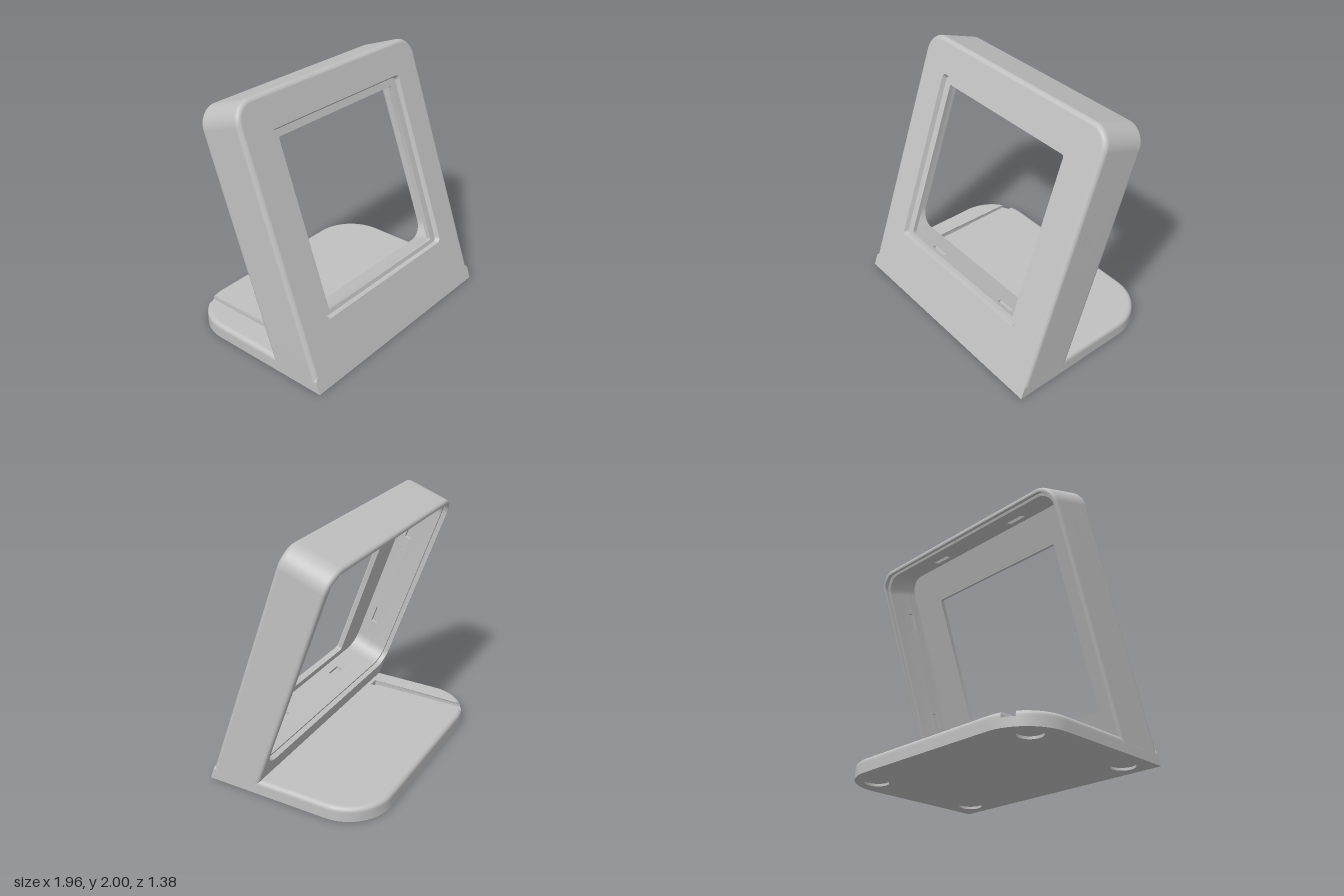
import * as THREE from 'three';
import { toCreasedNormals } from 'three/addons/utils/BufferGeometryUtils.js';

const TILT = Math.PI / 9;
const SLOPE = Math.tan(TILT);
const HALF_W = 0.98;
const grey = new THREE.MeshStandardMaterial({ color: 0xc0c0c0 });
grey.name = 'grey plastic';

// Outline with a straight bottom and two rounded top corners, optionally notched by a groove
function arch(bottom, top, r, groove) {
  const s = new THREE.Shape();
  const c = HALF_W - r, v = top - r;
  s.moveTo(-HALF_W, bottom);
  s.lineTo(HALF_W, bottom);
  s.absarc(c, v, r, 0, Math.PI / 2, false);
  if (groove) {
    const [x0, x1, end] = groove;
    s.absarc(-c, v, r, Math.PI / 2, Math.acos((x1 + c) / r), false);
    s.lineTo(x1, end);
    s.lineTo(x0, end);
    s.absarc(-c, v, r, Math.acos((x0 + c) / r), Math.PI, false);
  } else {
    s.absarc(-c, v, r, Math.PI / 2, Math.PI, false);
  }
  s.closePath();
  return s;
}

// Rounded rectangular hole; each side may carry two slots of the given depth
function rectHole(hx, hy, cy, r, slot = 0) {
  const pts = [];
  for (let k = 0; k < 4; k++) {
    const a = k % 2 ? hy : hx, b = k % 2 ? hx : hy;
    const turn = k * Math.PI / 2;
    const add = (p, q) => pts.push(new THREE.Vector2(p, q).rotateAround(new THREE.Vector2(), turn).add(new THREE.Vector2(0, cy)));
    if (slot) {
      const at = k % 2 ? 0.45 : 0.425;
      for (const m of [at, -at]) {
        add(m + 0.075, b); add(m + 0.075, b + slot);
        add(m - 0.075, b + slot); add(m - 0.075, b);
      }
    }
    for (let i = 0; i <= 10; i++) {
      const t = Math.PI / 2 + i / 10 * Math.PI / 2;
      add(-a + r + r * Math.cos(t), b - r + r * Math.sin(t));
    }
  }
  return new THREE.Path(pts);
}

// Levels and insets of a quarter-round edge running from z = a to the face at z = b
function roundEdge(a, b, r) {
  const list = [[a, 0]];
  const dir = Math.sign(b - a);
  for (let i = 0; i <= 7; i++) {
    const t = i / 7 * Math.PI / 2;
    const z = b - dir * r * (1 - Math.sin(t));
    if (Math.abs(z - a) > 1e-4) list.push([z, r * (1 - Math.cos(t))]);
  }
  return a < b ? list : list.reverse();
}

// Extrude an outline through levels [z, inset], then apply a vertex rule
function slab(name, shape, holes, levels, top, r, rule) {
  shape.holes = holes;
  const n = levels.length - 1;
  const raw = new THREE.ExtrudeGeometry(shape, { depth: 1, steps: n, bevelEnabled: false, curveSegments: 20 });
  const p = raw.attributes.position;
  for (let i = 0; i < p.count; i++) {
    const [z, inset] = levels[Math.round(p.getZ(i) * n)];
    let x = p.getX(i), v = p.getY(i);
    const cx = THREE.MathUtils.clamp(x, r - HALF_W, HALF_W - r), cv = Math.min(v, top - r);
    const d = Math.hypot(x - cx, v - cv);
    if (d > r - inset) {
      const k = (r - inset) / d;
      x = cx + (x - cx) * k;
      v = cv + (v - cv) * k;
    }
    [x, v] = rule(x, v, z);
    p.setXYZ(i, x, v, z);
  }
  raw.deleteAttribute('normal');
  raw.deleteAttribute('uv');
  raw.clearGroups();
  const g = toCreasedNormals(raw, 0.45);
  // Keep the end faces perfectly flat
  const q = g.attributes.position, nor = g.attributes.normal;
  for (let i = 0; i < q.count; i += 3) {
    const z = q.getZ(i);
    if (Math.abs(q.getZ(i + 1) - z) > 1e-6 || Math.abs(q.getZ(i + 2) - z) > 1e-6) continue;
    const face = Math.abs(z - levels[0][0]) < 1e-6 ? -1 : 1;
    for (let j = 0; j < 3; j++) nor.setXYZ(i + j, 0, 0, face);
  }
  const mesh = new THREE.Mesh(g, grey);
  mesh.name = name;
  return mesh;
}

export function createModel() {
  const model = new THREE.Group();
  model.name = 'displayStand';

  // Tilted frame: local x, height along the face, and depth along -z
  const frame = new THREE.Group();
  frame.name = 'tiltedFrame';
  const TOP = 2.14, R = 0.16;
  const cutFoot = (x, v, z) => [x, v < 0.01 ? 0.053 - SLOPE * z : v];
  const recessY = 1.165;
  const bevelRecess = (x, v, z) => {
    if (Math.abs(x) < 0.75 && v > 0.42 && v < 1.92) {
      const k = 1 + 0.02 * (1 + z / 0.035);
      return [x * k, recessY + (v - recessY) * k];
    }
    return cutFoot(x, v, z);
  };
  const addFrame = (name, hole, levels, rule = cutFoot) =>
    frame.add(slab(name, arch(0, TOP, R), [hole], levels, TOP, R, rule));
  const cavity = (grow, slot) => rectHole(0.93 + grow, 0.83 + grow, 1.26, 0.13, slot);

  addFrame('frontBezel', rectHole(0.7, 0.7, recessY, 0.035), roundEdge(-0.035, 0, 0.035), bevelRecess);
  addFrame('windowPanel', rectHole(0.64, 0.657, 1.153, 0.015), [[-0.07, 0], [-0.035, 0]]);
  addFrame('frontWall', cavity(0, 0), [[-0.14, 0], [-0.07, 0]]);
  addFrame('slottedWall', cavity(0, 0.03), [[-0.195, 0], [-0.14, 0]]);
  addFrame('rearWall', cavity(0, 0), [[-0.35, 0], [-0.195, 0]]);
  addFrame('rearRim', cavity(0.02, 0), roundEdge(-0.35, -0.39, 0.025));
  frame.rotation.x = -TILT;
  frame.position.z = 0.69;
  model.add(frame);

  // Base plate: local x, depth along -z, extruded upwards
  const base = new THREE.Group();
  base.name = 'basePlate';
  const BR = 0.36, BACK = 0.69;
  const slantFront = (x, v, z) => [x, v < -0.65 ? v + SLOPE * z : v];
  const footHoles = [];
  for (const x of [-0.78, 0.78]) for (const v of [-0.515, 0.455]) {
    footHoles.push(new THREE.Path().absarc(x, v, 0.092, 0, Math.PI * 2, true));
  }
  const addBase = (name, holes, levels, groove) =>
    base.add(slab(name, arch(-0.69, BACK, BR, groove), holes, levels, BACK, BR, slantFront));

  addBase('baseUnderside', footHoles, [[0, 0], [0.02, 0]]);
  addBase('baseCore', [], [[0.02, 0], [0.07, 0]]);
  addBase('baseTop', [], roundEdge(0.07, 0.115, 0.035), [-0.82, -0.73, -0.2]);
  base.rotation.x = -Math.PI / 2;
  model.add(base);

  return model;
}
